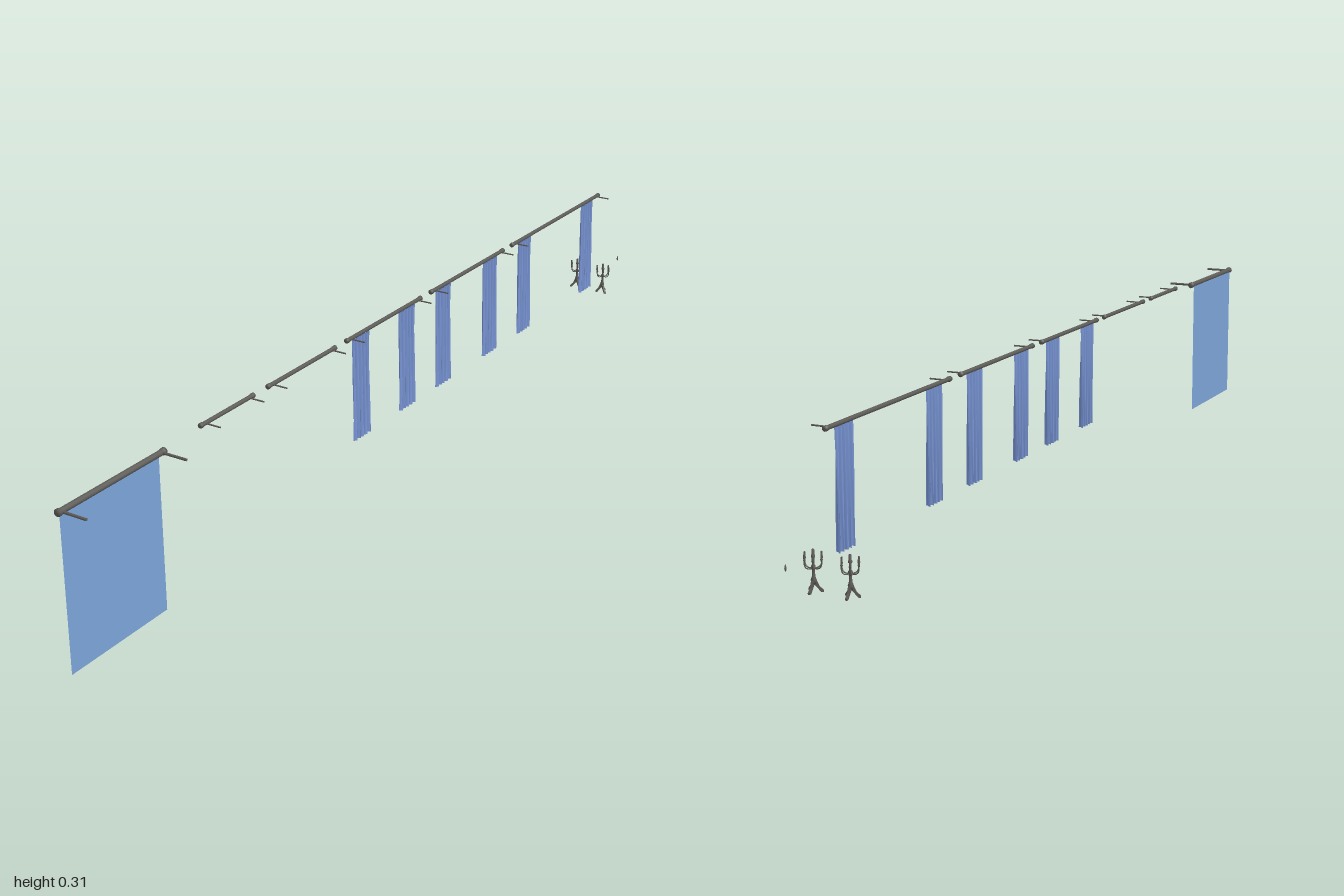
import * as THREE from 'three';

const metal = new THREE.MeshStandardMaterial({ color: 0x5e5c58 });
const blindBlue = new THREE.MeshStandardMaterial({ color: 0x7ba3d6, side: THREE.DoubleSide });
const curtainBlue = new THREE.MeshStandardMaterial({ color: 0x7a97d8, side: THREE.DoubleSide });
const ROD_X = 0.015;

function add(parent, name, geometry, material, x = 0, y = 0, z = 0) {
  const mesh = new THREE.Mesh(geometry, material);
  mesh.name = name;
  mesh.position.set(x, y, z);
  parent.add(mesh);
  return mesh;
}

// Horizontal rod along z with end knobs and two wall brackets reaching to +x
function makeRod(name, z0, z1, y, radius, reach, bracketRadius, inset) {
  const g = new THREE.Group();
  g.name = name;
  const knob = radius * 1.25;
  const profile = [[0, z0], [knob, z0], [knob, z0 + 0.006], [radius, z0 + 0.007],
    [radius, z1 - 0.007], [knob, z1 - 0.006], [knob, z1], [0, z1]]
    .map(([r, z]) => new THREE.Vector2(r, z));
  const rod = new THREE.LatheGeometry(profile, 12).rotateX(Math.PI / 2);
  add(g, 'rod', rod, metal, ROD_X, y, 0);
  for (const z of [z0 + inset, z1 - inset]) {
    const arm = new THREE.CylinderGeometry(bracketRadius, bracketRadius, reach, 8).rotateZ(Math.PI / 2);
    add(g, 'wallBracket', arm, metal, ROD_X + reach / 2, y, z);
  }
  return g;
}

// Pleated cloth: a plane in z and y whose x follows a wave that opens towards the hem
function makeCurtain(z0, z1) {
  const top = 0.303, bottom = 0.093;
  const geo = new THREE.PlaneGeometry(1, 1, 48, 6);
  const p = geo.attributes.position;
  for (let i = 0; i < p.count; i++) {
    const u = p.getX(i) + 0.5, v = 0.5 - p.getY(i);
    const wave = Math.sin(u * Math.PI * 10 + 0.5 * Math.sin(v * 3 + u * 9));
    const x = 0.0158 + 0.0022 * v + wave * (0.0045 + 0.0018 * v);
    const z = THREE.MathUtils.lerp(z1, z0, u) + 0.0015 * Math.cos(u * Math.PI * 20) * v;
    p.setXYZ(i, x, THREE.MathUtils.lerp(top, bottom, v), z);
  }
  geo.computeVertexNormals();
  const mesh = new THREE.Mesh(geo, curtainBlue);
  mesh.name = 'curtain';
  return mesh;
}

// Candle holder with six curved arms around a stem on a splayed foot
function makeCandelabra() {
  const g = new THREE.Group();
  g.name = 'candelabra';
  const stem = [[0, 0.014], [0.004, 0.014], [0.005, 0.02], [0.003, 0.026], [0.0022, 0.036],
    [0.0038, 0.039], [0.0038, 0.043], [0.002, 0.046], [0.002, 0.057], [0.0035, 0.058],
    [0.0035, 0.061], [0.0022, 0.062], [0.0022, 0.071], [0, 0.071]]
    .map(([r, y]) => new THREE.Vector2(r, y));
  add(g, 'stem', new THREE.LatheGeometry(stem, 10), metal);

  const armPath = new THREE.CatmullRomCurve3([[0, 0.041], [0.007, 0.0395], [0.013, 0.042], [0.0155, 0.048], [0.0155, 0.055]]
    .map(([x, y]) => new THREE.Vector3(x, y, 0)));
  const armGeo = new THREE.TubeGeometry(armPath, 10, 0.0011, 6);
  const cupGeo = new THREE.CylinderGeometry(0.0024, 0.0012, 0.003, 8);
  const candleGeo = new THREE.CylinderGeometry(0.0016, 0.0016, 0.011, 8);
  for (let i = 0; i < 6; i++) {
    const arm = new THREE.Group();
    arm.name = 'arm';
    arm.rotation.y = i * Math.PI / 3;
    add(arm, 'curvedArm', armGeo, metal);
    add(arm, 'cup', cupGeo, metal, 0.0155, 0.0545, 0);
    add(arm, 'candle', candleGeo, metal, 0.0155, 0.0595, 0);
    g.add(arm);
  }

  const legShape = new THREE.Shape([[0, 0.022], [0.004, 0.021], [0.009, 0.009], [0.0155, 0.003],
    [0.0155, 0], [0.0115, 0], [0.006, 0.007], [0, 0.014]].map(([x, y]) => new THREE.Vector2(x, y)));
  const legGeo = new THREE.ExtrudeGeometry(legShape, { depth: 0.004, bevelEnabled: false }).translate(0, 0, -0.002);
  for (let i = 0; i < 3; i++) {
    add(g, 'leg', legGeo, metal).rotation.y = Math.PI / 2 + i * Math.PI * 2 / 3;
  }
  return g;
}

export function createModel() {
  const model = new THREE.Group();
  model.name = 'windowDressings';

  // Roller blind at the front end
  const blind = makeRod('rollerBlind', 0.735, 1.0, 0.3, 0.0055, 0.053, 0.0025, 0.008);
  add(blind, 'blindCloth', new THREE.PlaneGeometry(0.246, 0.3).rotateY(Math.PI / 2), blindBlue, 0.0115, 0.15, 0.869);
  model.add(blind);

  // Curtain rods of growing length; three carry a pair of curtains
  const rods = [
    { z: [0.484, 0.638], curtains: [] },
    { z: [0.225, 0.442], curtains: [] },
    { z: [-0.082, 0.188], curtains: [[0.11, 0.17], [-0.057, 0.003]] },
    { z: [-0.42, -0.12], curtains: [[-0.198, -0.138], [-0.392, -0.332]] },
    { z: [-0.876, -0.458], curtains: [[-0.544, -0.487], [-0.845, -0.788]] },
  ];
  for (const { z, curtains } of rods) {
    const set = makeRod('curtainRod', z[0], z[1], 0.307, 0.004, 0.033, 0.0015, 0.014);
    for (const [a, b] of curtains) set.add(makeCurtain(a, b));
    model.add(set);
  }

  // Two candelabras beyond the back end
  for (const x of [-0.053, ROD_X]) {
    const c = makeCandelabra();
    c.position.set(x, 0.051, -0.921);
    model.add(c);
  }

  // Small loose flame at the far back
  const flame = [[0, -0.006], [0.0016, -0.003], [0.002, 0], [0.001, 0.004], [0, 0.007]]
    .map(([r, y]) => new THREE.Vector2(r, y));
  add(model, 'flame', new THREE.LatheGeometry(flame, 8), metal, 0.016, 0.113, -0.998);
  return model;
}
